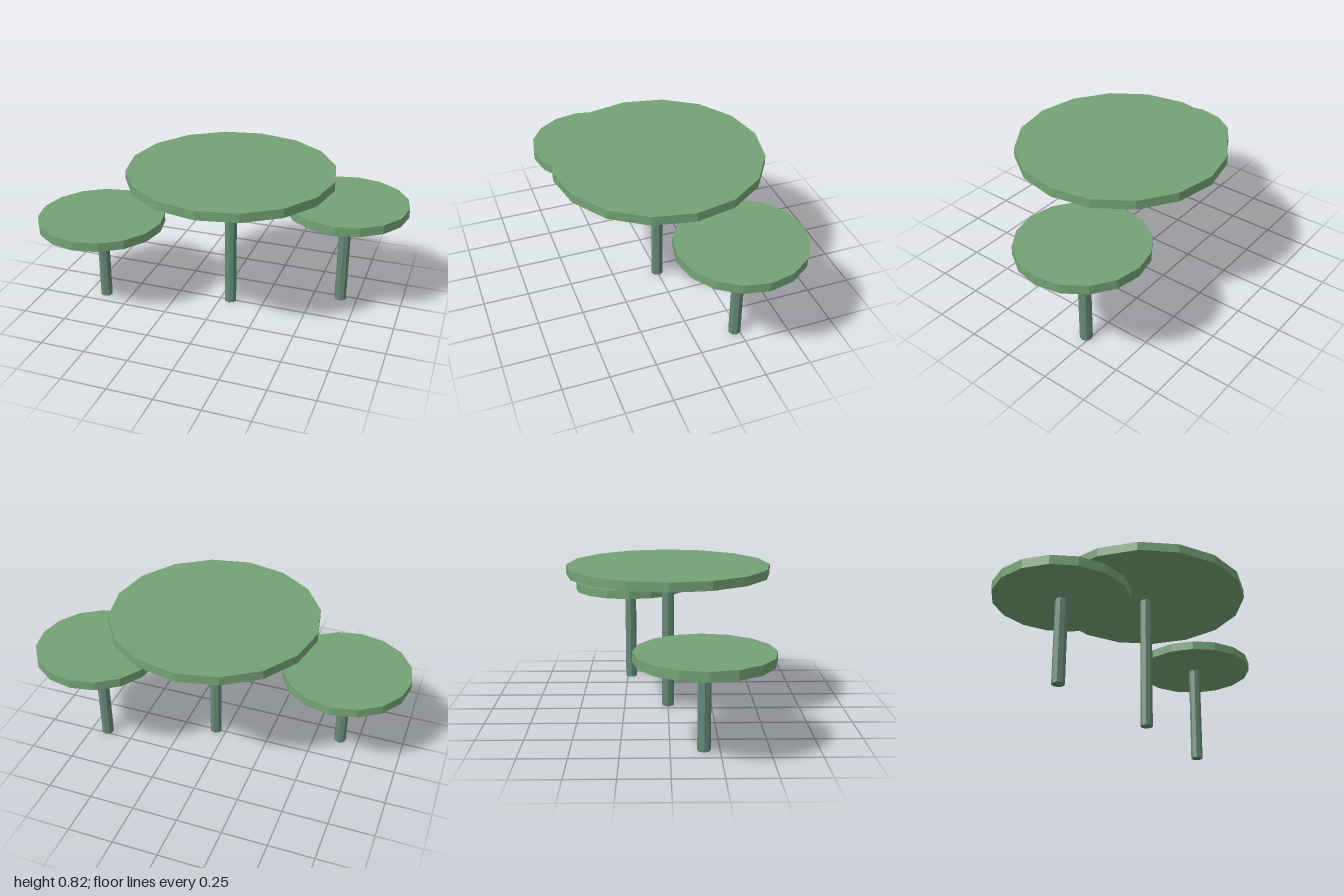
import * as THREE from 'three';

const THICKNESS = 0.05;
const STEM_RADIUS = 0.034;

// name, centre x, centre z, disc radius, height of the disc's top
const PADS = [
  ['large', 0.06, 0, 0.566, 0.82],
  ['medium', 0.655, -0.227, 0.341, 0.62],
  ['small', -0.647, 0.169, 0.354, 0.51],
];

export function createModel() {
  const padGreen = new THREE.MeshStandardMaterial({ color: 0x74a375 });
  padGreen.name = 'leaf green';
  const stemGreen = new THREE.MeshStandardMaterial({ color: 0x668a78 });
  stemGreen.name = 'stem grey green';

  // Faceted cylinder with its base at y
  function facetedCylinder(name, radius, height, sides, y, material) {
    const geometry = new THREE.CylinderGeometry(radius, radius, height, sides).toNonIndexed();
    geometry.computeVertexNormals();
    const mesh = new THREE.Mesh(geometry, material);
    mesh.name = name;
    mesh.position.y = y + height / 2;
    return mesh;
  }

  const model = new THREE.Group();
  model.name = 'lilyPads';
  for (const [size, x, z, radius, top] of PADS) {
    const pad = new THREE.Group();
    pad.name = size + 'Pad';
    pad.position.set(x, 0, z);
    const underside = top - THICKNESS;
    // Flat disc on a thin upright stem
    pad.add(facetedCylinder(size + 'Disc', radius, THICKNESS, 16, underside, padGreen));
    pad.add(facetedCylinder(size + 'Stem', STEM_RADIUS, underside, 8, 0, stemGreen));
    model.add(pad);
  }
  return model;
}
